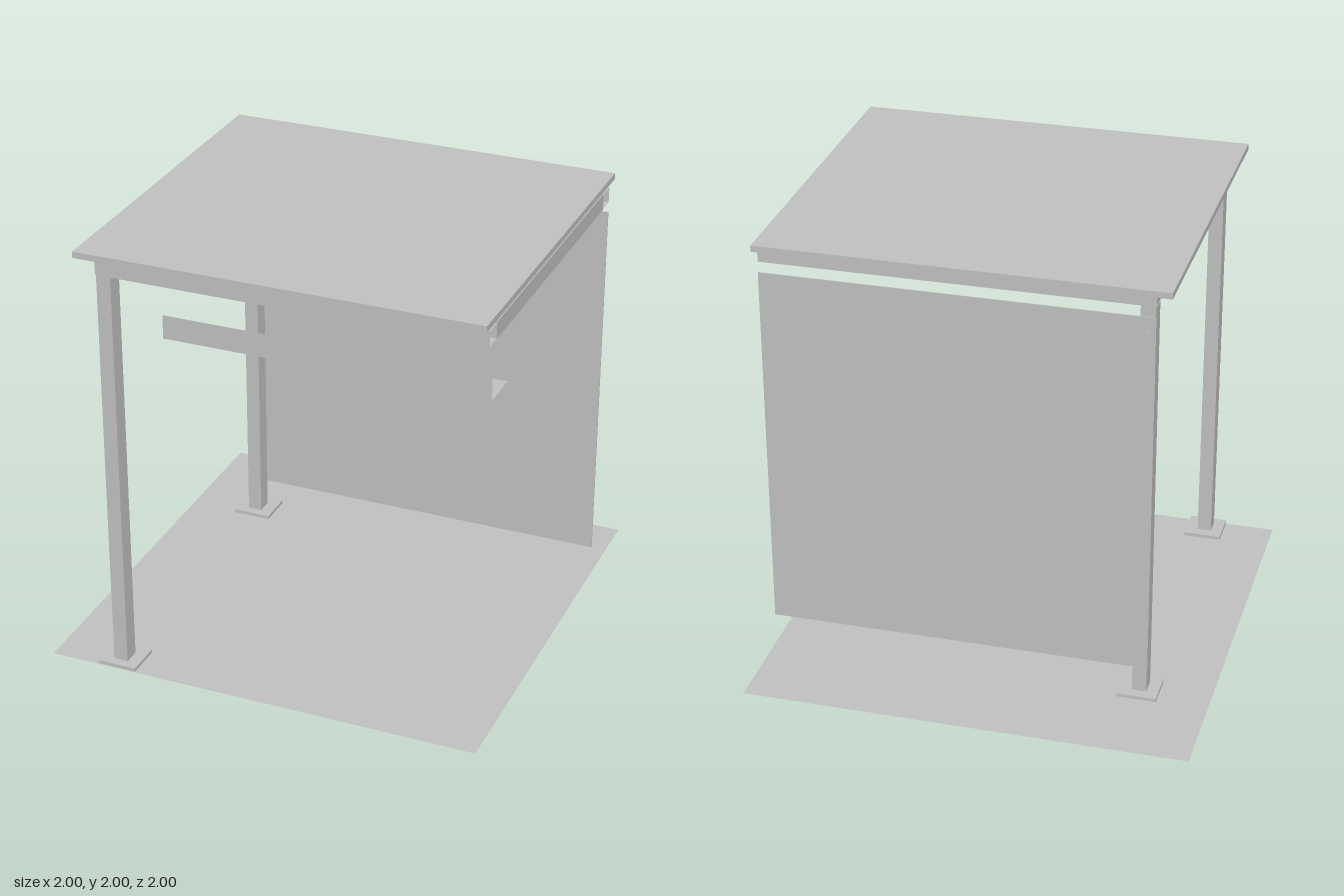
import * as THREE from 'three';

const grey = new THREE.MeshStandardMaterial({ color: 0xc0c0c0, side: THREE.DoubleSide });
grey.name = 'light grey metal';

export function createModel() {
  const group = new THREE.Group();
  group.name = 'standShelter';

  const add = (name, geometry) => {
    const mesh = new THREE.Mesh(geometry, grey);
    mesh.name = name;
    group.add(mesh);
    return mesh;
  };

  // Box given by its lower and upper limits on each axis
  const box = (name, [x0, x1], [y0, y1], [z0, z1]) => {
    const mesh = add(name, new THREE.BoxGeometry(x1 - x0, y1 - y0, z1 - z0));
    mesh.position.set((x0 + x1) / 2, (y0 + y1) / 2, (z0 + z1) / 2);
    return mesh;
  };

  // Thin upright sheet facing z
  const sheet = (name, [x0, x1], [y0, y1], z) => {
    const mesh = add(name, new THREE.PlaneGeometry(x1 - x0, y1 - y0));
    mesh.position.set((x0 + x1) / 2, (y0 + y1) / 2, z);
    return mesh;
  };

  // Thin level sheet
  const deck = (name, [x0, x1], y, [z0, z1]) => {
    const mesh = add(name, new THREE.PlaneGeometry(x1 - x0, z1 - z0).rotateX(-Math.PI / 2));
    mesh.position.set((x0 + x1) / 2, y, (z0 + z1) / 2);
    return mesh;
  };

  // Floor and roof
  deck('floor', [-1, 1], 0, [-1, 1]);
  box('roof', [-0.8, 1], [1.972, 2], [-0.637, 1]);

  // Front and back frames: foot plate, post and hollow beam open at both ends
  for (const [side, z] of [['front', 0.92], ['back', -0.52]]) {
    box(side + 'FootPlate', [-0.77, -0.595], [0.004, 0.02], [z - 0.087, z + 0.08]);
    box(side + 'Post', [-0.717, -0.652], [0.02, 1.944], [z - 0.039, z + 0.039]);
    const beam = box(side + 'Beam', [-0.72, 1], [1.893, 1.961], [z - 0.041, z + 0.041]);
    beam.geometry.setIndex(Array.from(beam.geometry.index.array).slice(12));
  }

  // Cross beams joining the frames
  for (const [side, x] of [['right', [-0.715, -0.655]], ['left', [0.97, 1]]]) {
    box(side + 'CrossBeam', x, [1.89, 1.965], [-0.48, 0.88]);
  }

  // Back wall panel with fixing holes over the post
  const wall = new THREE.Shape([[-0.72, 0.145], [1, 0.145], [1, 1.845], [-0.72, 1.845]]
    .map(([x, y]) => new THREE.Vector2(x, y)));
  for (const y of [0.19, 1.79]) {
    wall.holes.push(new THREE.Path().absarc(-0.685, y, 0.012, 0, Math.PI * 2, true));
  }
  add('backPanel', new THREE.ExtrudeGeometry(wall, { depth: 0.005, bevelEnabled: false, curveSegments: 8 }))
    .position.z = -0.566;

  // Angled sign tray and the strap it hangs from
  sheet('signFront', [-0.44, 1], [1.635, 1.742], 0.917);
  deck('signShelf', [-0.44, 1], 1.635, [0.735, 0.917]);
  sheet('signHanger', [-0.02, 0.02], [1.635, 1.968], 0.74);

  return group;
}
